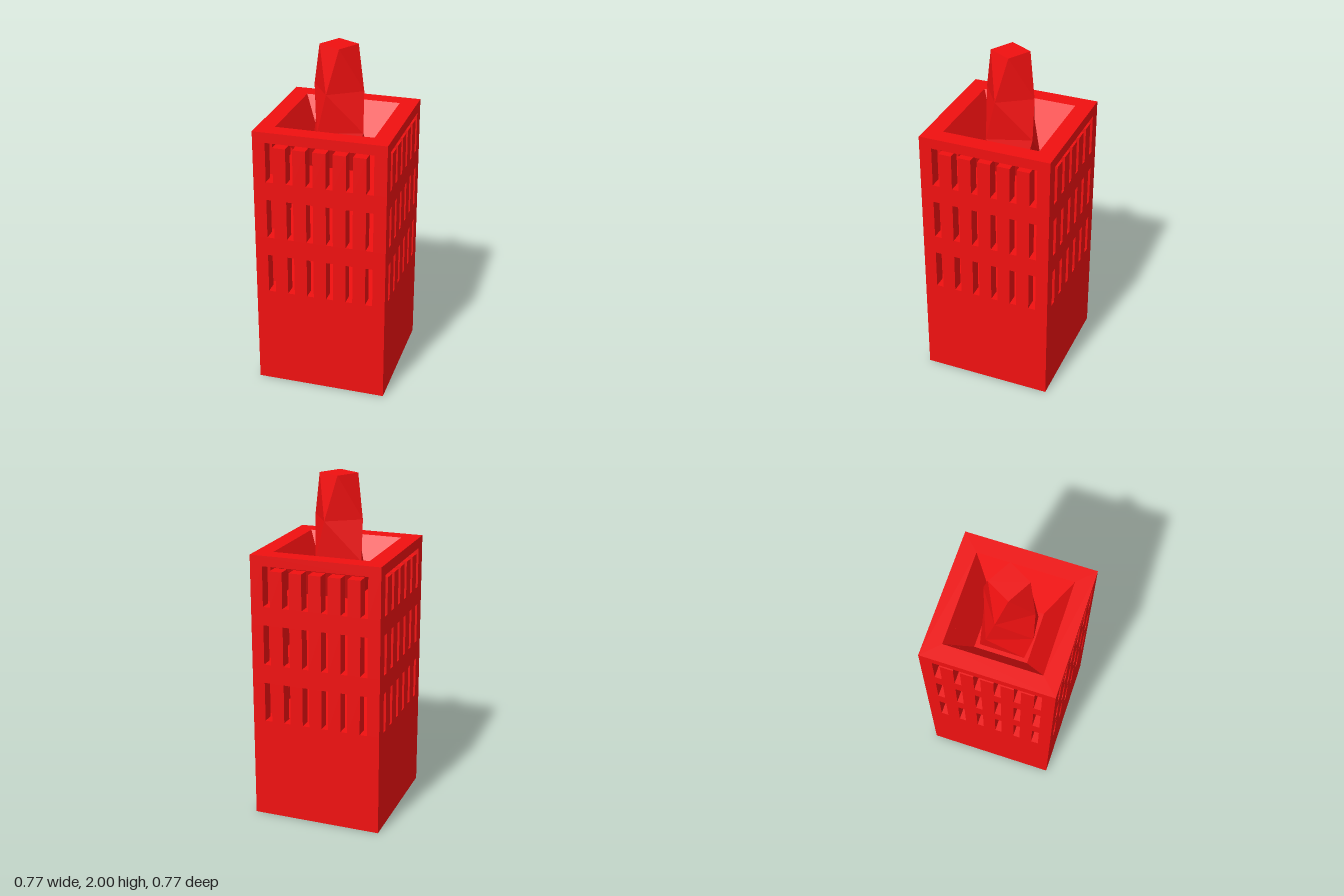
import * as THREE from 'three';

const HALF = 0.383;          // half width of the tower
const WALL = 0.073;          // wall and corner post thickness
const PITCH = 0.115;         // spacing of the window slots
const PILLAR = 0.075;        // pillar width between slots

export function createModel() {
  const tower = new THREE.Group();
  tower.name = 'tower';
  const red = new THREE.MeshStandardMaterial({ color: 0xf01010, flatShading: true });
  const redOpen = red.clone();
  redOpen.side = THREE.DoubleSide;

  const add = (name, geometry, parent = tower, material = red) => {
    const mesh = new THREE.Mesh(geometry, material);
    mesh.name = name;
    parent.add(mesh);
    return mesh;
  };
  const block = (name, parent, w, d, y0, y1, x = 0, z = 0) =>
    add(name, new THREE.BoxGeometry(w, y1 - y0, d).translate(x, (y0 + y1) / 2, z), parent);

  // Solid base and the bands between the window rows
  block('base', tower, HALF * 2, HALF * 2, 0, 0.6);
  block('lowerBand', tower, HALF * 2, HALF * 2, 0.835, 0.947);
  block('upperBand', tower, HALF * 2, HALF * 2, 1.182, 1.29);

  // Window rows: corner posts with five pillars on each side.
  // The top row's pillars stop short of the cornice.
  const rows = [[0.6, 0.835, 0.835], [0.947, 1.182, 1.182], [1.29, 1.525, 1.5]];
  const edge = HALF - WALL / 2;
  rows.forEach(([y0, y1, pillarTop], row) => {
    const storey = new THREE.Group();
    storey.name = 'windowRow' + (row + 1);
    tower.add(storey);
    for (let side = 0; side < 4; side++) {
      const wall = new THREE.Group();
      wall.name = 'windowWall' + (side + 1);
      wall.rotation.y = side * Math.PI / 2;
      storey.add(wall);
      block('cornerPost', wall, WALL, WALL, y0, y1, edge, edge);
      for (let i = -2; i <= 2; i++) {
        block('pillar', wall, PILLAR, WALL, y0, pillarTop, i * PITCH, edge);
      }
    }
  });

  // Cornice with the sunken square funnel, a four-sided lathe
  const profile = [
    [0.254, 1.525], [HALF, 1.525], [HALF, 1.585], [0.283, 1.585], [0.155, 1.32], [0, 1.32],
  ].map(([half, y]) => new THREE.Vector2(half * Math.SQRT2, y));
  add('corniceAndFunnel', new THREE.LatheGeometry(profile, 4, Math.PI / 4), tower, redOpen);

  // Twisted square spire standing in the funnel
  add('spire', twistedSpire([
    [1.32, 0.184, 45], [1.52, 0.183, 64], [1.75, 0.157, 79], [2, 0.108, 106],
  ]));
  return tower;
}

// Joins square sections [height, corner radius, turn in degrees] into a capped solid
function twistedSpire(sections) {
  const corner = ([y, r, turn], i) => {
    const a = THREE.MathUtils.degToRad(turn + i * 90);
    return [r * Math.cos(a), y, -r * Math.sin(a)];
  };
  const points = [];
  const triangle = (...corners) => corners.forEach((c) => points.push(...c));
  for (let s = 0; s < sections.length - 1; s++) {
    const low = sections[s], high = sections[s + 1];
    for (let i = 0; i < 4; i++) {
      triangle(corner(low, i), corner(low, i + 1), corner(high, i));
      triangle(corner(low, i + 1), corner(high, i + 1), corner(high, i));
    }
  }
  const top = sections[sections.length - 1], bottom = sections[0];
  for (const i of [0, 2]) {
    triangle(corner(top, i), corner(top, i + 1), corner(top, i + 2));
    triangle(corner(bottom, i + 2), corner(bottom, i + 1), corner(bottom, i));
  }
  const geometry = new THREE.BufferGeometry();
  geometry.setAttribute('position', new THREE.Float32BufferAttribute(points, 3));
  geometry.computeVertexNormals();
  return geometry;
}
